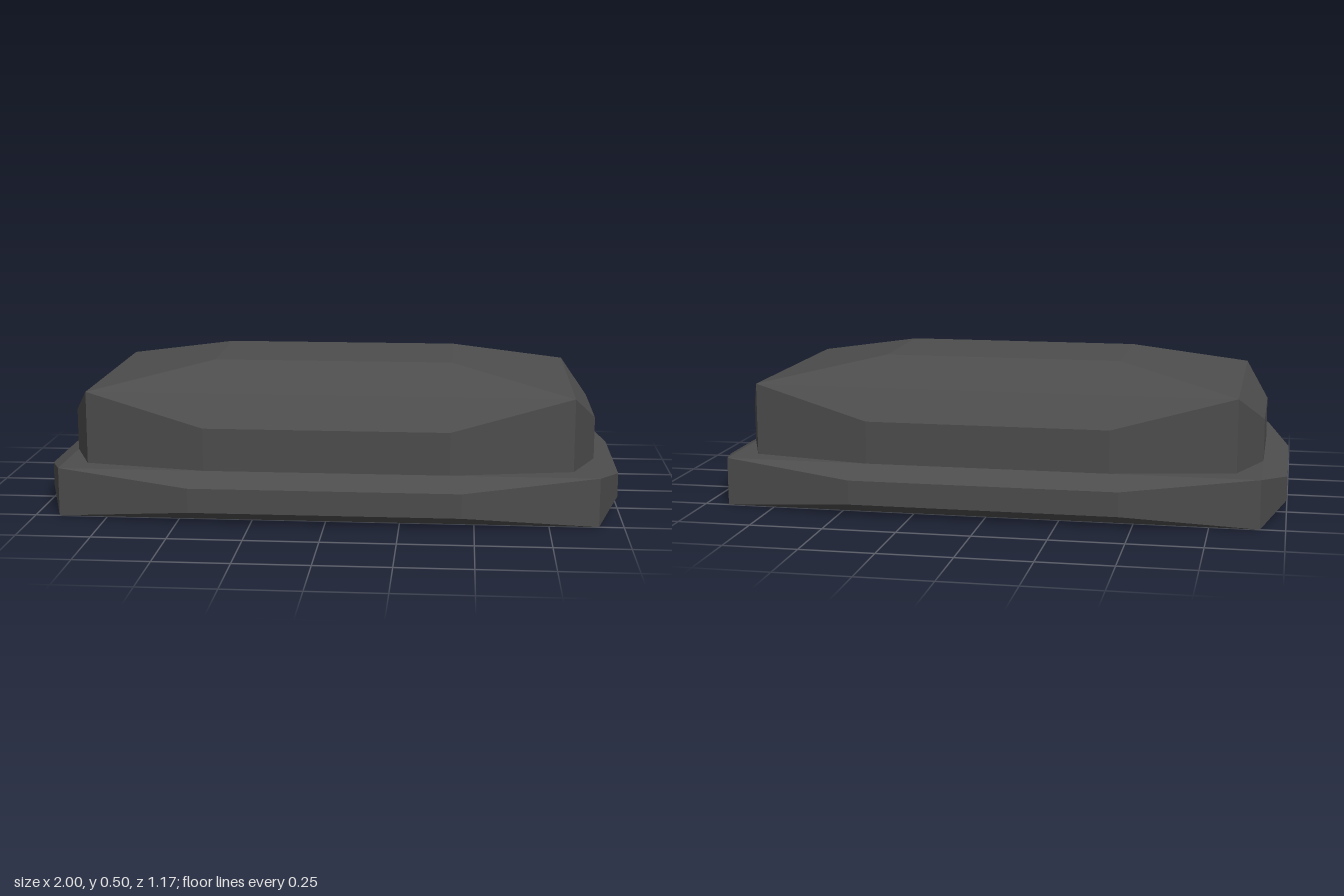
import * as THREE from 'three';

const BULGE = 0.083;

// Box whose chosen faces swell out to a half-size inner panel with bevelled borders.
function bulgedBox(w, h, d, topBulge) {
  const half = new THREE.Vector3(w / 2, h / 2, d / 2);
  const positions = [];
  const quad = (a, b, c, e) => {
    for (const p of [a, b, c, a, c, e]) positions.push(p.x, p.y + h / 2, p.z);
  };
  const corners = [[-1, -1], [1, -1], [1, 1], [-1, 1]];
  // Each face: outward normal n, and u, v with u x v = n
  const faces = [
    [[0, 0, 1], [1, 0, 0], [0, 1, 0], BULGE],
    [[0, 0, -1], [-1, 0, 0], [0, 1, 0], BULGE],
    [[1, 0, 0], [0, 0, -1], [0, 1, 0], BULGE],
    [[-1, 0, 0], [0, 0, 1], [0, 1, 0], BULGE],
    [[0, 1, 0], [1, 0, 0], [0, 0, -1], topBulge],
    [[0, -1, 0], [1, 0, 0], [0, 0, 1], 0],
  ];
  for (const [na, ua, va, bulge] of faces) {
    const n = new THREE.Vector3(...na), u = new THREE.Vector3(...ua), v = new THREE.Vector3(...va);
    const ring = (scale, lift) => corners.map(([s, t]) =>
      new THREE.Vector3()
        .addScaledVector(u, s * scale).addScaledVector(v, t * scale).add(n)
        .multiply(half).addScaledVector(n, lift));
    const outer = ring(1, 0);
    if (bulge === 0) { quad(...outer); continue; }
    const inner = ring(0.5, bulge);
    quad(...inner);
    for (let i = 0; i < 4; i++) {
      const j = (i + 1) % 4;
      quad(outer[i], outer[j], inner[j], inner[i]);
    }
  }
  const geometry = new THREE.BufferGeometry();
  geometry.setAttribute('position', new THREE.Float32BufferAttribute(positions, 3));
  geometry.computeVertexNormals();
  return geometry;
}

export function createModel() {
  const group = new THREE.Group();
  group.name = 'steppedBlock';
  const darkGrey = new THREE.MeshStandardMaterial({ color: 0x4d4d4d, flatShading: true });
  darkGrey.name = 'darkGrey';

  const add = (name, geometry, y) => {
    const mesh = new THREE.Mesh(geometry, darkGrey);
    mesh.name = name;
    mesh.position.y = y;
    group.add(mesh);
  };

  // Wide flat-topped plinth
  add('base', bulgedBox(1.833, 0.167, 1, 0), 0);
  // Taller block rising through the plinth, its floor held just inside
  add('upperBlock', bulgedBox(1.667, 0.415, 0.833, BULGE), 0.002);
  return group;
}
